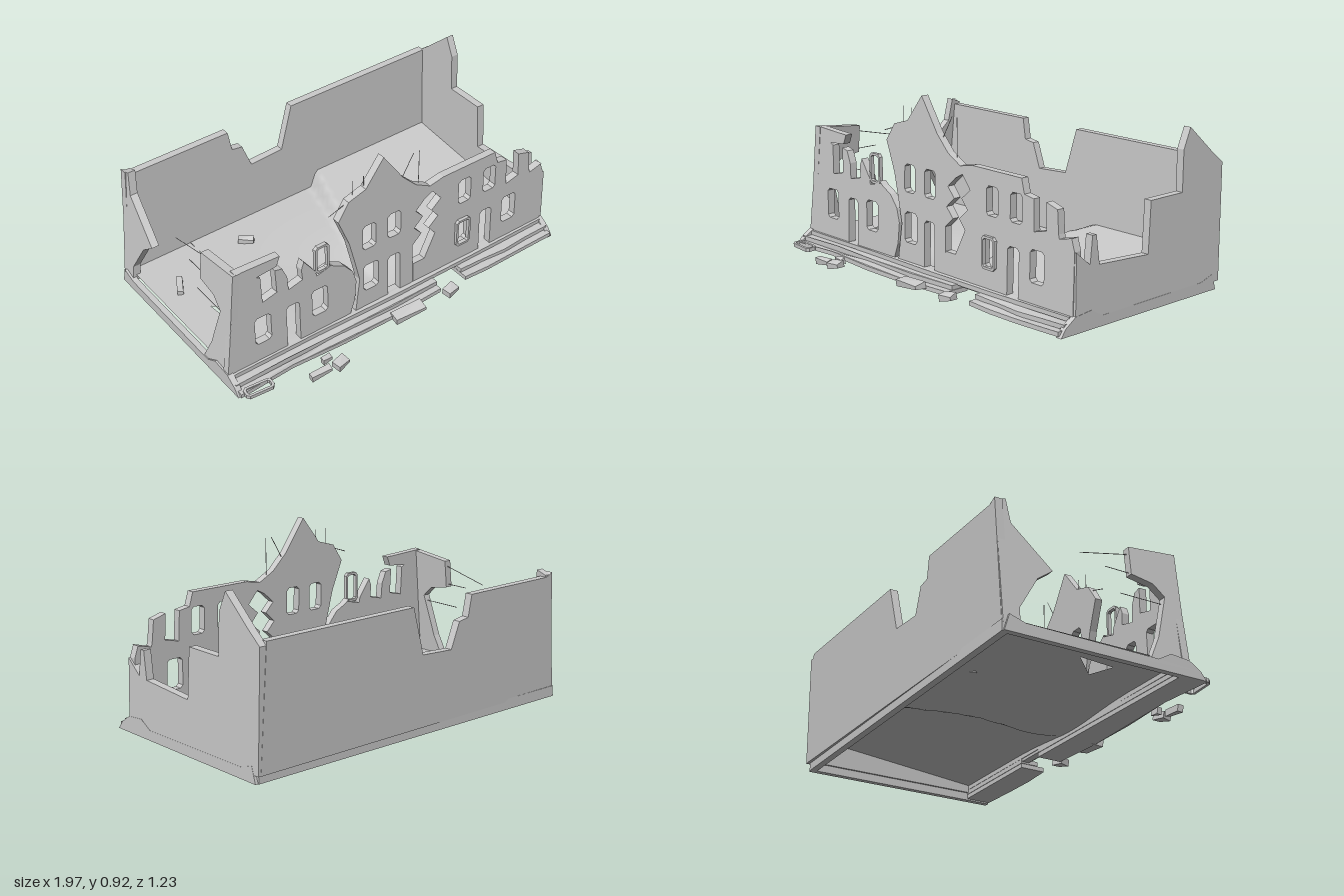
import * as THREE from 'three';

const material = new THREE.MeshStandardMaterial({ color: 0xcccccc, side: THREE.DoubleSide });
const THICK = 0.04;

// Small seeded generator for worn edges and rubble
let seed = 7;
const random = () => (seed = (seed * 16807) % 2147483647) / 2147483647;

const toPath = (pts, Type = THREE.Path) => new Type(pts.map(([x, y]) => new THREE.Vector2(x, y)));

// Slab cut from an outline with holes, extruded along +z
function slab(outline, holes = [], depth = THICK) {
  const shape = toPath(outline, THREE.Shape);
  shape.holes = holes.map((h) => toPath(h));
  return new THREE.ExtrudeGeometry(shape, { depth, bevelEnabled: false });
}

// Move every vertex by a rule
function warp(geometry, rule) {
  const p = geometry.attributes.position;
  const v = new THREE.Vector3();
  for (let i = 0; i < p.count; i++) {
    rule(v.fromBufferAttribute(p, i));
    p.setXYZ(i, v.x, v.y, v.z);
  }
  geometry.computeVertexNormals();
  return geometry;
}

// Points stepping between two ends, swinging alternately to either side
function zigzag(x0, y0, x1, y1, steps, swing) {
  return Array.from({ length: steps + 1 }, (_, i) => {
    const t = i / steps;
    return [x0 + (x1 - x0) * t + (i % 2 ? swing : -swing), y0 + (y1 - y0) * t];
  });
}

// Eight-sided opening with chamfered corners
function opening(x, y, w, h, c = 0.014) {
  const corner = (sx, sy) => {
    const a = [x + sx * w / 2, y + sy * (h / 2 - c)];
    const b = [x + sx * (w / 2 - c), y + sy * h / 2];
    return sx === sy ? [a, b] : [b, a];
  };
  return [corner(-1, -1), corner(1, -1), corner(1, 1), corner(-1, 1)].flat();
}

const frame = (x, y, w, h) => slab(opening(x, y, w, h), [opening(x, y, w - 0.024, h - 0.024, 0.008)], 0.02);

// Broken-open window in a wall top, walked towards -x
const notch = (x, top) => [[x + 0.04, top], [x + 0.045, 0.44], [x - 0.035, 0.42], [x - 0.04, top]];

// Floor level: low on one side of the crack, rising to the rear on the other, sagging at its front end
function floorLevel(x, z) {
  const crackX = 0.02 + 0.25 * Math.max(0, 0.14 - z) ** 1.3;
  const beyond = THREE.MathUtils.smoothstep(x, crackX - 0.01, crackX + 0.03);
  const sag = Math.exp(-((x + 0.08) ** 2) / 0.08 - ((z - 0.15) ** 2) / 0.05);
  return THREE.MathUtils.lerp(0.085, 0.12 - 0.1 * z, beyond) - 0.05 * sag;
}

export function createModel() {
  const group = new THREE.Group();
  const add = (name, geometry, x = 0, y = 0, z = 0) => {
    const mesh = new THREE.Mesh(geometry, material);
    mesh.name = name;
    mesh.position.set(x, y, z);
    group.add(mesh);
    return mesh;
  };

  // Window and door openings, row by row
  const openings = [
    ...[-0.77, -0.445, -0.14, 0.43, 0.74].map((x) => [x, 0.26, 0.09, 0.155]),
    ...[-0.6, 0, 0.585].map((x) => [x, 0.195, 0.075, 0.25]),
    ...[-0.15, 0, 0.44, 0.6].map((x) => [x, 0.505, 0.078, 0.14]),
  ];
  const frontWall = (name, from, to, outline) => {
    const holes = openings.filter(([x]) => x > from && x < to).map((o) => opening(...o));
    add(name, warp(slab(outline, holes), (v) => { v.z -= 0.02 * v.y; }), 0, 0, 0.335);
  };

  // Front wall in three broken sections
  frontWall('frontWallRight', -1, -0.25, [
    [-0.98, 0.05], [-0.28, 0.05], [-0.24, 0.16], [-0.23, 0.27], [-0.25, 0.34], [-0.3, 0.4], [-0.36, 0.43],
    ...notch(-0.425, 0.45), [-0.53, 0.54], ...notch(-0.585, 0.5), [-0.65, 0.56], ...notch(-0.73, 0.57),
    [-0.79, 0.58], [-0.68, 0.59], [-0.66, 0.64], [-0.9, 0.65], [-0.95, 0.3]]);
  frontWall('frontWallGable', -0.25, 0.12, [
    [-0.24, 0.05], [0.12, 0.05], ...zigzag(0.14, 0.32, 0.16, 0.57, 5, 0.025), [0.26, 0.61],
    [0.13, 0.68], [0.05, 0.76], [-0.065, 0.925], [-0.17, 0.79], [-0.27, 0.76], [-0.33, 0.67],
    [-0.27, 0.52], [-0.24, 0.4], [-0.21, 0.27]]);
  frontWall('frontWallLeft', 0.12, 1, [
    [0.12, 0.05], [0.97, 0.05], [0.97, 0.38], ...notch(0.91, 0.44), [0.86, 0.55], ...notch(0.75, 0.57),
    [0.65, 0.58], [0.63, 0.65], [0.3, 0.65], [0.2, 0.63], ...zigzag(0.27, 0.58, 0.23, 0.33, 5, 0.025),
    [0.19, 0.2], [0.12, 0.2]]);

  // Window frames, standing and fallen
  add('windowFrame', frame(-0.425, 0.507, 0.08, 0.155), 0, 0, 0.345);
  add('windowFrame', frame(0.43, 0.26, 0.09, 0.16), 0, 0, 0.365);
  add('fallenFrame', frame(0, 0, 0.15, 0.06), -0.88, 0.02, 0.48).rotation.set(-1.5, 0, -0.08);

  // Back wall with its broken gap, leaning out slightly
  add('backWall', warp(slab([[-0.96, 0.05], [0.97, 0.05], [0.94, 0.65], [0.06, 0.65], [-0.01, 0.41], [-0.2, 0.4],
    [-0.25, 0.53], [-0.31, 0.54], [-0.33, 0.65], [-0.88, 0.65], [-0.92, 0.67]]),
  (v) => { v.z -= 0.02 * v.y + 0.01 * v.x; }), 0, 0, -0.595);

  // Side walls: outlines run along z, thickness goes towards -x
  const sideWall = (name, x, lean, outline) =>
    add(name, warp(slab(outline).rotateY(-Math.PI / 2), (v) => { v.x += lean * v.y; }), x);
  sideWall('leftWall', 0.985, -0.015, [
    [0.37, 0.05], [0.365, 0.38], [0.28, 0.31], [0.265, 0.44], [0.24, 0.44], [0.22, 0.3], [-0.1, 0.28],
    [-0.115, 0.53], [-0.33, 0.53], [-0.335, 0.73], [-0.38, 0.83], [-0.54, 0.69], [-0.615, 0.63], [-0.605, 0.05]]);
  sideWall('rightWallRear', -0.935, 0.09, [
    [-0.585, 0.05], [-0.595, 0.66], [-0.54, 0.68], [-0.52, 0.56], [-0.32, 0.37], [-0.4, 0.31], [-0.5, 0.14], [-0.5, 0.05]]);
  sideWall('rightWallFront', -0.94, 0.1, [
    [0.37, 0.05], [0.365, 0.65], [0.105, 0.62], [0.105, 0.475], [0.22, 0.455], [0.28, 0.4], [0.22, 0.18], [0.16, 0.05]]);

  // Floor: a warped sheet, and a flat strip with a torn hole (strip outline as x, -z)
  const sheet = new THREE.PlaneGeometry(1.54, 0.92, 60, 24).rotateX(-Math.PI / 2).translate(0.17, 0, -0.11);
  add('floorSheet', warp(sheet, (v) => { v.y = floorLevel(v.x, v.z); }));
  const torn = toPath([[-0.95, 0.57], [-0.95, -0.35], [-0.6, -0.35], [-0.6, 0.57]], THREE.Shape);
  torn.holes.push(toPath([[-0.76, -0.11], [-0.78, 0.08], [-0.64, -0.06]]));
  add('floorStrip', new THREE.ShapeGeometry(torn).rotateX(-Math.PI / 2), 0, 0.083);

  // Foundation skirt, open underneath
  for (const x of [0.985, -0.95]) {
    add('foundationSide', slab([[-0.585, 0.01], [0.46, 0.01], [0.43, 0.05], [0.37, 0.09], [0.27, 0.1],
      [0.2, 0.06], [-0.48, 0.065], [-0.56, 0.09]], [], 0.03).rotateY(-Math.PI / 2), x);
  }
  add('foundationBack', new THREE.BoxGeometry(1.94, 0.055, 0.035), 0, 0.0375, -0.5725);

  // Worn front steps; the lower two are interrupted by a missing block
  const tread = (x0, x1, level) => {
    const edge = zigzag(x0, 0, x1, 0, 4, 0).map(([x]) => [x, -0.47 + 0.036 * level + random() * 0.012]);
    add('frontStep', warp(slab([...edge, [x1, -0.33], [x0, -0.33]], [], 0.022).rotateX(-Math.PI / 2),
      (v) => { v.y += 0.006 * Math.sin(7 * v.x); }), 0, 0.015 + 0.024 * level);
  };
  for (const level of [0, 1]) {
    tread(-0.97, 0.23, level);
    tread(0.39, 0.97, level);
  }
  tread(-0.95, 0.96, 2);

  // Loose rubble: centre, then length, depth and turn
  const rubble = (x, y, z, w, d, turn = 0) => {
    const g = warp(new THREE.BoxGeometry(w, 0.035, d).toNonIndexed(), (v) => { if (v.x > 0 && v.z > 0) v.y *= 0.5; });
    add('rubble', g, x, y, z).rotation.set(0.1, turn, 0.1);
  };
  rubble(0, 0.035, 0.49, 0.17, 0.06, -0.1);
  rubble(0.27, 0.035, 0.49, 0.07, 0.05, 0.2);
  rubble(-0.52, 0.04, 0.52, 0.05, 0.025);
  rubble(-0.59, 0.03, 0.57, 0.11, 0.03, -0.06);
  rubble(-0.48, 0.04, 0.58, 0.07, 0.05, 0.2);
  rubble(-0.83, 0.1, -0.28, 0.03, 0.1, -0.5);
  rubble(-0.37, 0.1, -0.38, 0.08, 0.03, -0.7);
  rubble(0.31, 0.11, 0.29, 0.16, 0.06, 0.1);

  // Bent reinforcing rods: start point, then offset to the end
  const rod = (x, y, z, dx, dy, dz) => {
    const start = new THREE.Vector3(x, y, z);
    const line = new THREE.LineCurve3(start, start.clone().add(new THREE.Vector3(dx, dy, dz)));
    add('rod', new THREE.TubeGeometry(line, 1, 0.002, 4));
  };
  for (const x of [-0.23, -0.165]) rod(x, 0.76, 0.335, 0, 0.09, 0);
  rod(0.165, 0.63, 0.335, 0, 0.22, 0);
  rod(0.06, 0.73, 0.335, 0.07, 0.12, 0);
  rod(-0.28, 0.74, 0.34, -0.09, -0.03, 0);
  rod(-0.9, 0.59, 0.11, 0, -0.06, -0.26);
  rod(-0.91, 0.49, 0.11, 0, 0, -0.13);
  rod(-0.92, 0.37, 0.27, 0, 0, -0.22);
  return group;
}
